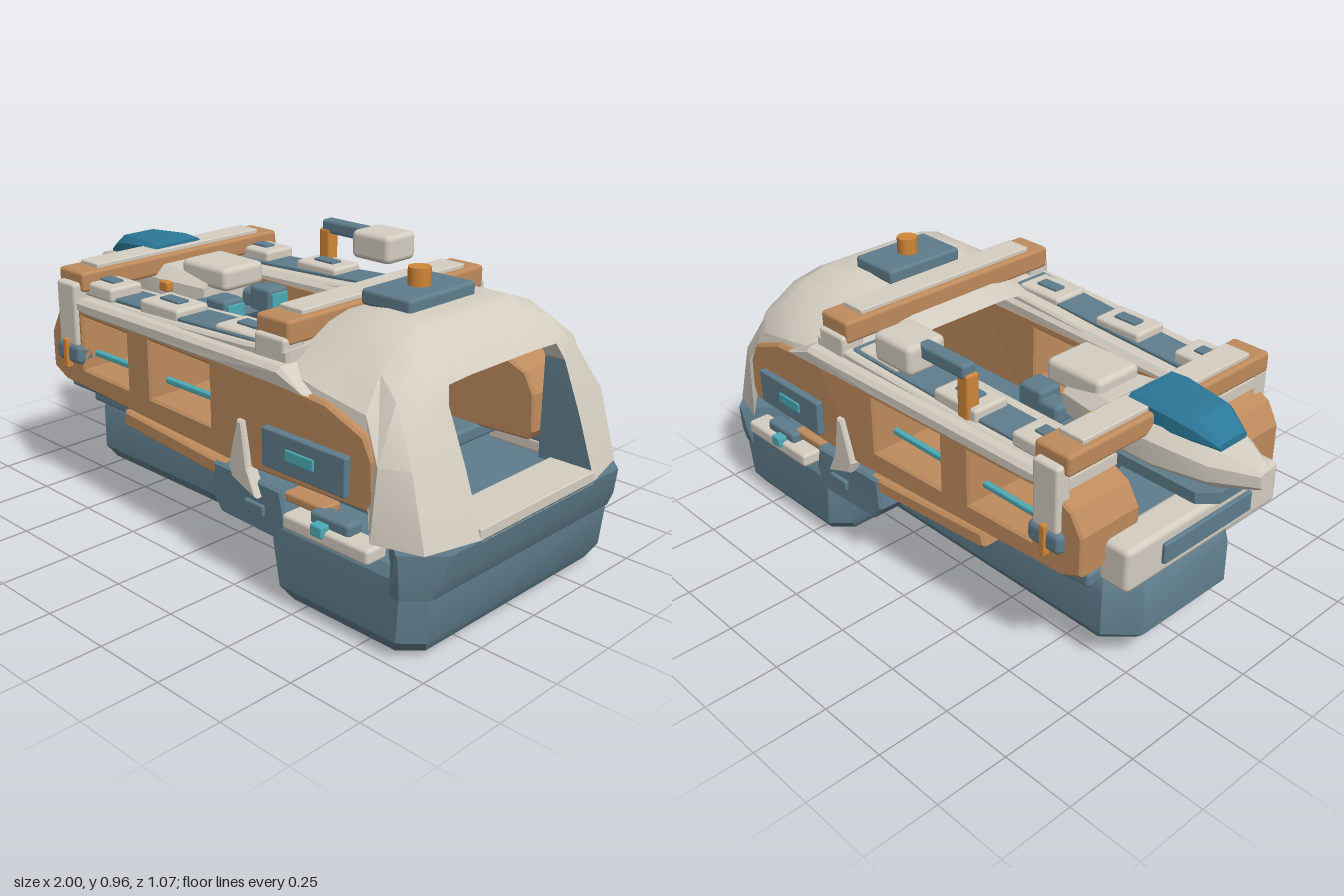
import * as THREE from 'three';
import { toCreasedNormals } from 'three/addons/utils/BufferGeometryUtils.js';
import { RoundedBoxGeometry } from 'three/addons/geometries/RoundedBoxGeometry.js';

const mat = (name, color, side = THREE.FrontSide) => {
  const m = new THREE.MeshStandardMaterial({ color, side });
  m.name = name;
  return m;
};

export function createModel() {
  const slate = mat('slate', 0x5f7d8c), cream = mat('cream', 0xd4cdc1, THREE.DoubleSide);
  const tan = mat('tan', 0xbe8b5d), orange = mat('orange', 0xd08638);
  const teal = mat('teal', 0x4babb6), blue = mat('blue', 0x2b7898);
  const model = new THREE.Group();

  const add = (name, geo, m) => {
    const mesh = new THREE.Mesh(geo, m);
    mesh.name = name;
    model.add(mesh);
    return mesh;
  };
  // Softly rounded box given by its limits
  const box = (name, m, x0, x1, y0, y1, z0, z1, r = 0.012) => {
    const w = x1 - x0, h = y1 - y0, d = z1 - z0;
    const geo = new RoundedBoxGeometry(w, h, d, 2, Math.min(r, w * 0.3, h * 0.3, d * 0.3));
    geo.translate((x0 + x1) / 2, (y0 + y1) / 2, (z0 + z1) / 2);
    return add(name, geo, m);
  };
  // The same box on both sides
  const pair = (name, m, x0, x1, y0, y1, z0, z1, r) => {
    box(name + 'Left', m, x0, x1, y0, y1, z0, z1, r);
    box(name + 'Right', m, x0, x1, y0, y1, -z1, -z0, r);
  };
  // Side profile in x, y given thickness on both sides, narrowing towards the tail
  const plates = (name, m, pts, z0, z1, holes = [], bevel = 0.008) => {
    const shape = new THREE.Shape(pts.map(p => new THREE.Vector2(...p)));
    for (const [a, b, c, d] of holes) {
      shape.holes.push(new THREE.Path([[a, c], [a, d], [b, d], [b, c]].map(p => new THREE.Vector2(...p))));
    }
    for (const s of [1, -1]) {
      const geo = new THREE.ExtrudeGeometry(shape, {
        depth: z1 - z0 - 2 * bevel, bevelEnabled: bevel > 0, bevelSize: bevel,
        bevelOffset: -bevel, bevelThickness: bevel, bevelSegments: 1
      });
      geo.translate(0, 0, (s > 0 ? z0 : -z1) + bevel);
      const p = geo.attributes.position;
      for (let i = 0; i < p.count; i++) p.setZ(i, p.getZ(i) * (1 + 0.09 * Math.min(p.getX(i), 0.4)));
      geo.computeVertexNormals();
      add(name + (s > 0 ? 'Left' : 'Right'), geo, m);
    }
  };
  // Skin over a row of cross-sections, with sharp edges kept
  const loft = (rings, closed = true) => {
    const pos = [], n = rings[0].length;
    const tri = (...ps) => ps.forEach(p => pos.push(...p));
    for (let i = 0; i + 1 < rings.length; i++) {
      for (let j = 0; j < (closed ? n : n - 1); j++) {
        const k = (j + 1) % n, a = rings[i], b = rings[i + 1];
        tri(a[j], a[k], b[k]);
        tri(a[j], b[k], b[j]);
      }
    }
    if (closed) {
      const a = rings[0], b = rings[rings.length - 1];
      for (let j = 1; j + 1 < n; j++) {
        tri(a[0], a[j + 1], a[j]);
        tri(b[0], b[j], b[j + 1]);
      }
    }
    const geo = new THREE.BufferGeometry();
    geo.setAttribute('position', new THREE.Float32BufferAttribute(pos, 3));
    return toCreasedNormals(geo, 0.5);
  };
  // Chamfered plan outline at height y
  const plan = ([y, x0, x1, h, c]) => [[x1, y, h - c], [x1, y, c - h], [x1 - c, y, -h], [x0 + c, y, -h],
    [x0, y, c - h], [x0, y, h - c], [x0 + c, y, h], [x1 - c, y, h]];
  // Chamfered cross-section at station x
  const station = ([x, y0, y1, h, c]) => [[x, y0 + c, -h], [x, y1 - c, -h], [x, y1, c - h], [x, y1, h - c],
    [x, y1 - c, h], [x, y0 + c, h], [x, y0, h - c], [x, y0, c - h]];

  // Hulls
  add('rearHull', loft([[0.062, -0.65, 0.38, 0.22, 0.07], [0.08, -0.72, 0.4, 0.26, 0.08], [0.12, -0.76, 0.42, 0.285, 0.09],
    [0.27, -0.76, 0.42, 0.285, 0.09], [0.31, -0.74, 0.42, 0.27, 0.08], [0.33, -0.7, 0.42, 0.25, 0.07]].map(plan)), slate);
  add('forwardHull', loft([[0, 0.43, 0.88, 0.42, 0.05], [0.015, 0.4, 0.915, 0.45, 0.06], [0.06, 0.37, 0.94, 0.48, 0.06],
    [0.2, 0.35, 0.952, 0.485, 0.06], [0.25, 0.36, 0.95, 0.483, 0.06], [0.28, 0.39, 0.94, 0.465, 0.06]].map(plan)), slate);
  add('cabBelt', loft([[0.2, 0.8, 0.957, 0.488, 0.062], [0.25, 0.79, 0.98, 0.497, 0.08],
    [0.34, 0.79, 0.997, 0.503, 0.1]].map(plan)), slate);
  box('lowerDeck', slate, -0.64, 0.35, 0.32, 0.38, -0.35, 0.35);
  box('deck', slate, -0.71, 0.6, 0.37, 0.42, -0.39, 0.39);
  box('cabFloor', slate, 0.45, 0.9, 0.27, 0.36, -0.28, 0.28);

  // Cab shell: half arches of x, y, z, mirrored over the roof
  const arches = [
    [[0.22, 0.69, 0.4], [0.22, 0.73, 0.37], [0.22, 0.755, 0.31], [0.21, 0.77, 0.24], [0.21, 0.78, 0.16]],
    [[0.42, 0.67, 0.47], [0.42, 0.73, 0.45], [0.42, 0.78, 0.37], [0.42, 0.83, 0.28], [0.42, 0.85, 0.2]],
    [[0.58, 0.65, 0.48], [0.58, 0.71, 0.47], [0.58, 0.78, 0.385], [0.56, 0.84, 0.29], [0.54, 0.867, 0.21]],
    [[0.75, 0.58, 0.475], [0.74, 0.68, 0.46], [0.72, 0.775, 0.385], [0.71, 0.84, 0.29], [0.7, 0.867, 0.21]],
    [[0.8, 0.34, 0.503], [0.81, 0.56, 0.49], [0.8, 0.72, 0.41], [0.78, 0.805, 0.3], [0.765, 0.835, 0.2]],
    [[0.95, 0.34, 0.455], [0.89, 0.56, 0.445], [0.84, 0.715, 0.36], [0.825, 0.765, 0.29], [0.82, 0.772, 0.19]],
    [[0.997, 0.34, 0.27], [0.93, 0.53, 0.27], [0.865, 0.69, 0.27], [0.845, 0.74, 0.25], [0.842, 0.743, 0.15]],
    [[0.8, 0.34, 0.265], [0.8, 0.53, 0.265], [0.8, 0.69, 0.265], [0.79, 0.735, 0.245], [0.79, 0.738, 0.15]]
  ].map(a => [...a.map(([x, y, z]) => [x, y, -z]), ...a.slice().reverse()]);
  add('cabShell', loft(arches.slice(0, 7), false), cream);
  const frame = (a, b) => loft(arches.slice(6).map(r => r.slice(a, b)), false);
  add('windowHead', frame(2, 8), cream);
  add('windowJambRight', frame(0, 3), slate);
  add('windowJambLeft', frame(7, 10), slate);
  box('windowSill', cream, 0.84, 0.996, 0.33, 0.372, -0.275, 0.275, 0.004);
  box('roofHatch', slate, 0.43, 0.62, 0.855, 0.905, -0.15, 0.15);
  const beacon = add('beacon', new THREE.CylinderGeometry(0.035, 0.035, 0.06, 20), orange);
  beacon.position.set(0.525, 0.93, 0);

  // Side walls with window tunnels
  plates('sideWall', tan, [[-0.73, 0.45], [-0.66, 0.42], [0.2, 0.4], [0.78, 0.42], [0.8, 0.45], [0.795, 0.57],
    [0.76, 0.635], [0.62, 0.69], [0.4, 0.705], [-0.56, 0.715], [-0.69, 0.65], [-0.73, 0.58]], 0.22, 0.475,
  [[-0.54, -0.29, 0.485, 0.67], [-0.165, 0.13, 0.485, 0.675]]);
  plates('topRail', cream, [[-0.65, 0.69], [-0.52, 0.675], [-0.2, 0.68], [0.13, 0.685], [0.56, 0.69],
    [0.44, 0.748], [0.25, 0.745], [-0.1, 0.738], [-0.65, 0.725]], 0.222, 0.482, [], 0.014);
  plates('railCore', cream, [[-0.6, 0.7], [0.44, 0.7], [0.44, 0.785], [0.25, 0.765], [-0.1, 0.745], [-0.6, 0.728]], 0.235, 0.44);
  plates('railStrip', slate, [[-0.54, 0.7], [0.29, 0.72], [0.29, 0.775], [-0.1, 0.757], [-0.54, 0.742]], 0.285, 0.415, [], 0.004);
  for (const x of [-0.515, -0.18, 0.18]) {
    pair('railPlate', cream, x - 0.095, x + 0.095, 0.73, 0.78, 0.285, 0.415);
    pair('plateLatch', slate, x - 0.045, x + 0.045, 0.77, 0.788, 0.325, 0.37, 0.003);
  }
  pair('windowRod', teal, -0.55, 0.14, 0.52, 0.54, 0.385, 0.405);
  plates('strake', tan, [[-0.34, 0.35], [-0.32, 0.34], [0.17, 0.32], [0.18, 0.37], [-0.33, 0.395]], 0.37, 0.465);

  // Side equipment
  pair('sidePanel', slate, 0.39, 0.715, 0.445, 0.565, 0.485, 0.513, 0.006);
  pair('panelHandle', teal, 0.49, 0.6, 0.49, 0.525, 0.508, 0.519, 0.003);
  plates('bracket', slate, [[0.13, 0.26], [0.17, 0.21], [0.42, 0.21], [0.46, 0.28], [0.44, 0.37], [0.14, 0.37]], 0.26, 0.47);
  pair('bracketLatch', slate, 0.29, 0.375, 0.265, 0.302, 0.47, 0.495, 0.006);
  plates('fin', cream, [[0.235, 0.4], [0.25, 0.36], [0.36, 0.325], [0.32, 0.41], [0.298, 0.55], [0.275, 0.55], [0.25, 0.46]],
    0.45, 0.492, [], 0.006);
  pair('stepRail', cream, 0.48, 0.81, 0.28, 0.328, 0.44, 0.522);
  pair('stepBlock', slate, 0.57, 0.72, 0.32, 0.362, 0.44, 0.5);
  pair('stepTie', tan, 0.42, 0.6, 0.335, 0.365, 0.4, 0.47);
  pair('stepKnob', teal, 0.605, 0.65, 0.308, 0.345, 0.5, 0.535, 0.006);

  // Cross beams and their legs
  for (const [name, x, y, h] of [['rearBeam', -0.605, 0.748, 0.068], ['frontBeam', 0.36, 0.79, 0.075]]) {
    box(name, tan, x - 0.068, x + 0.068, y, y + h, -0.44, 0.44, 0.012);
    box(name + 'Cap', cream, x - 0.047, x + 0.047, y + h - 0.01, y + h + 0.014, -0.365, 0.365, 0.005);
  }
  pair('frontLeg', cream, 0.3, 0.425, 0.72, 0.815, 0.37, 0.455);
  pair('rearLeg', cream, -0.655, -0.555, 0.56, 0.78, 0.41, 0.466);
  pair('rearFoot', slate, -0.67, -0.54, 0.5, 0.568, 0.4, 0.472, 0.018);
  pair('rearPin', orange, -0.62, -0.597, 0.48, 0.585, 0.455, 0.48, 0.005);
  box('rearBumper', cream, -0.815, -0.7, 0.38, 0.528, -0.345, 0.345, 0.02);
  box('bumperPlate', slate, -0.828, -0.8, 0.42, 0.49, -0.2, 0.2, 0.006);

  // Tail pod with canopy
  add('tailPod', loft([[-1, 0.675, 0.73, 0.025, 0.01], [-0.87, 0.645, 0.765, 0.1, 0.035], [-0.7, 0.635, 0.785, 0.135, 0.04],
    [-0.52, 0.64, 0.785, 0.14, 0.04], [-0.32, 0.65, 0.77, 0.105, 0.03]].map(station)), cream);
  add('canopy', loft([[-0.88, 0.755, 0.785, 0.06, 0.012], [-0.8, 0.755, 0.838, 0.09, 0.025],
    [-0.64, 0.755, 0.846, 0.102, 0.015], [-0.575, 0.755, 0.84, 0.1, 0.01]].map(station)), blue);
  add('podKeel', loft([[0.59, -0.85, -0.26, 0.08, 0.03], [0.615, -0.91, -0.24, 0.13, 0.05],
    [0.652, -0.91, -0.22, 0.13, 0.05]].map(plan)), slate);
  box('podLid', cream, -0.455, -0.23, 0.74, 0.82, -0.09, 0.09, 0.02);
  pair('podLamp', orange, -0.5, -0.455, 0.71, 0.745, 0.125, 0.155, 0.006);
  pair('eyeArm', slate, -0.34, -0.24, 0.64, 0.71, 0.07, 0.145, 0.02);
  pair('eyeCase', slate, -0.27, -0.17, 0.64, 0.735, 0.055, 0.145, 0.015);
  pair('eyeLens', teal, -0.176, -0.162, 0.655, 0.718, 0.064, 0.136, 0.003);
  const trunk = new THREE.CatmullRomCurve3([[-0.24, 0.64], [-0.25, 0.55], [-0.3, 0.475], [-0.37, 0.455],
    [-0.44, 0.5], [-0.46, 0.6]].map(([x, y]) => new THREE.Vector3(x, y, 0)));
  add('trunk', new THREE.TubeGeometry(trunk, 24, 0.028, 10), slate);

  // Small crane on the right rail
  box('cranePost', orange, -0.25, -0.2, 0.73, 0.885, -0.423, -0.375, 0.01);
  box('craneBoom', slate, -0.24, 0.08, 0.868, 0.917, -0.428, -0.378, 0.012);
  box('craneHead', cream, -0.055, 0.115, 0.82, 0.918, -0.475, -0.33, 0.02);

  return model;
}
